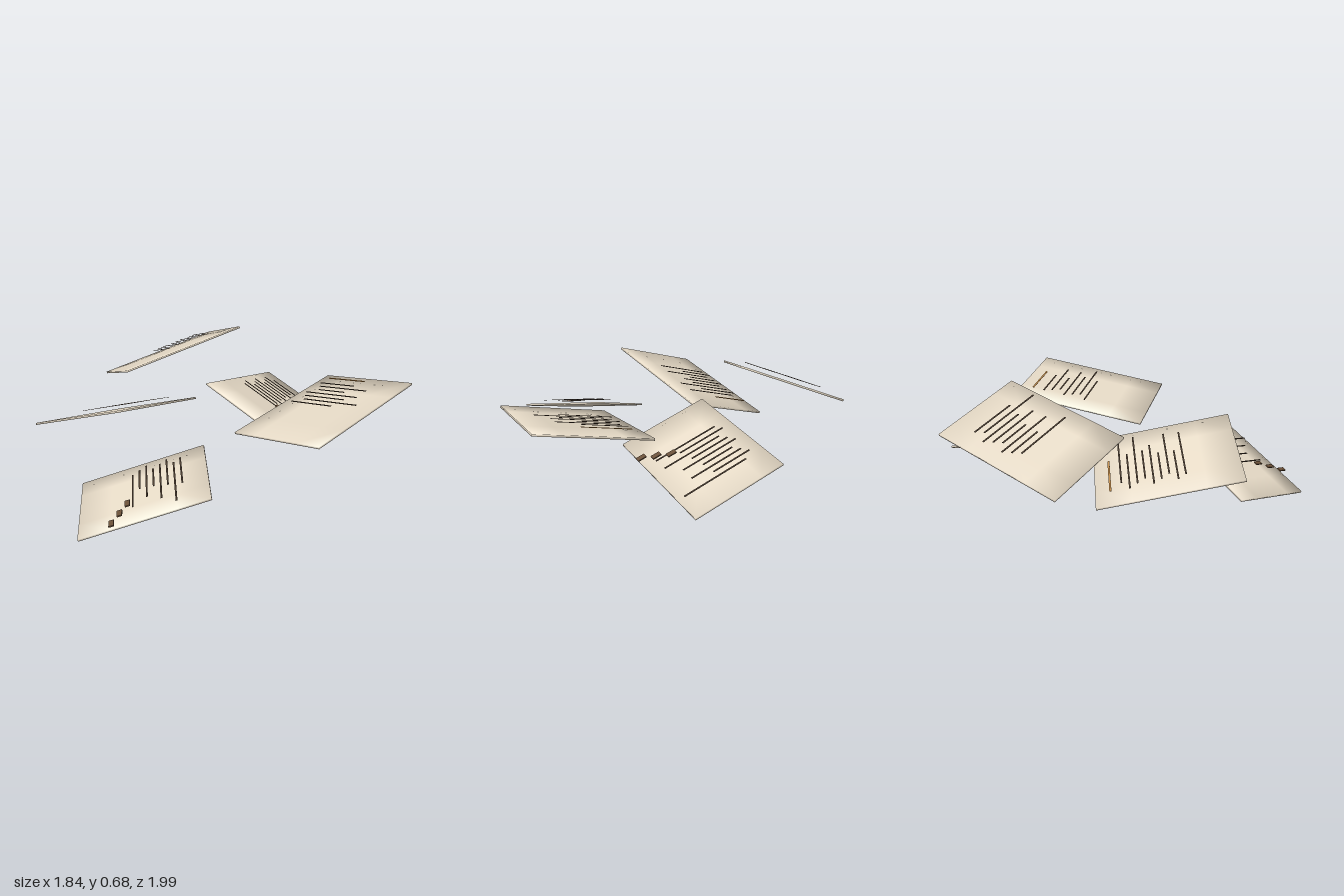
import * as THREE from 'three';

const mat = (name, color) => Object.assign(new THREE.MeshStandardMaterial({ color }), { name });

// Each sheet: back-left corner, back-right corner, front-left corner,
// indent phase of the first row, and the right end of every written row.
const SHEETS = [
  { name: 'leftSheet', bl: [-0.747, 0.51, -0.714], br: [-0.25, 0.68, -0.55], fl: [-0.92, 0.325, 0.01],
    first: 0.204, phase: 1, ends: [0.67, 0.92, 0.62, 0.74, 0.55, 0.75, 0.54, 0.85] },
  { name: 'backSheet', bl: [-0.346, 0.286, -0.905], br: [0.124, 0.104, -1.0], fl: [-0.156, 0.404, -0.217],
    first: 0.186, phase: 2, ends: [0.94, 0.56, 0.76, 0.58, 0.76, 0.61, 0.88, 0.65, 0.89], blots: true },
  { name: 'rightSheet', bl: [0.267, 0.443, -0.81], br: [0.836, 0.54, -0.852], fl: [0.345, 0.31, 0],
    first: 0.198, phase: 0, ends: [0.54, 0.74, 0.54, 0.74, 0.65, 0.85, 0.62], heading: true },
  { name: 'middleSheet', bl: [-0.636, 0.174, 0.1], br: [-0.14, 0.345, -0.116], fl: [-0.383, 0.334, 0.804],
    first: 0.188, phase: 2, ends: [0.85, 0.63, 0.87, 0.64, 0.7, 0.56, 0.83, 0.55, 0.81], heading: true },
  { name: 'frontSheet', bl: [0.335, 0.29, 0.206], br: [0.73, 0.225, 0.476], fl: [-0.045, 0.072, 0.725],
    first: 0.188, phase: 1, ends: [0.66, 0.93, 0.61, 0.81, 0.56, 0.71, 0.53, 0.81], blots: true },
];
const ROW_STEP = 0.0545;
const THICK = 0.011;
const LIFT = 0.03;

// Thin plate whose rim normals lean outward, so the shading rolls off like soft paper
function sheetGeometry(w, l) {
  const g = new THREE.BoxGeometry(w, THICK, l, 4, 1, 4);
  const { position: p, normal } = g.attributes;
  const lean = (value, half) => (Math.abs(value) > half * 0.99 ? Math.sign(value) : 0);
  const n = new THREE.Vector3();
  for (let i = 0; i < p.count; i++) {
    n.set(lean(p.getX(i), w / 2), Math.sign(p.getY(i)), lean(p.getZ(i), l / 2)).normalize();
    normal.setXYZ(i, n.x, n.y, n.z);
  }
  return g;
}

function makeSheet(s, mats) {
  const [bl, br, fl] = [s.bl, s.br, s.fl].map((p) => new THREE.Vector3(...p));
  const across = br.clone().sub(bl);
  const down = fl.clone().sub(bl);
  const w = across.length();
  const l = down.length();

  // Orient the sheet: local x across, z down the page, y out of the face
  const x = across.clone().normalize();
  const y = new THREE.Vector3().crossVectors(down, across).normalize();
  const z = new THREE.Vector3().crossVectors(x, y);
  const sheet = new THREE.Group();
  sheet.name = s.name;
  sheet.quaternion.setFromRotationMatrix(new THREE.Matrix4().makeBasis(x, y, z));
  sheet.position.copy(br).add(fl).multiplyScalar(0.5).addScaledVector(y, -THICK / 2);

  const paper = new THREE.Mesh(sheetGeometry(w, l), mats.paper);
  paper.name = 'paper';
  sheet.add(paper);

  // Bar centred at page fractions u, v
  const bar = (name, material, u, v, sx, sy, sz) => {
    const m = new THREE.Mesh(new THREE.BoxGeometry(sx, sy, sz), material);
    m.name = name;
    m.position.set((u - 0.5) * w, LIFT, (v - 0.5) * l);
    sheet.add(m);
  };

  // Written rows with a repeating three-step indent
  s.ends.forEach((end, i) => {
    const start = 0.138 + 0.048 * ((i + s.phase) % 3);
    bar('writtenRow', mats.ink, (start + end) / 2, s.first + i * ROW_STEP, (end - start) * w, 0.002, 0.009);
  });

  if (s.heading) bar('heading', mats.amber, 0.362, 0.11, 0.43 * w, 0.002, 0.011);

  // Trail of small blots running off the edge
  if (s.blots) {
    for (let i = 0; i < 3; i++) {
      bar('blot', mats.blot, 0.72 + 0.128 * i, 0.61 + 0.06 * i, 0.095 * w, 0.007, 0.055 * w);
    }
  }
  return sheet;
}

export function createModel() {
  const mats = {
    paper: mat('paper', 0xe8dcc8),
    ink: mat('ink', 0x4a3b2e),
    amber: mat('amber', 0xba8748),
    blot: mat('blot', 0x6a5038),
  };
  const model = new THREE.Group();
  model.name = 'floatingSheets';
  SHEETS.forEach((s) => model.add(makeSheet(s, mats)));
  return model;
}
